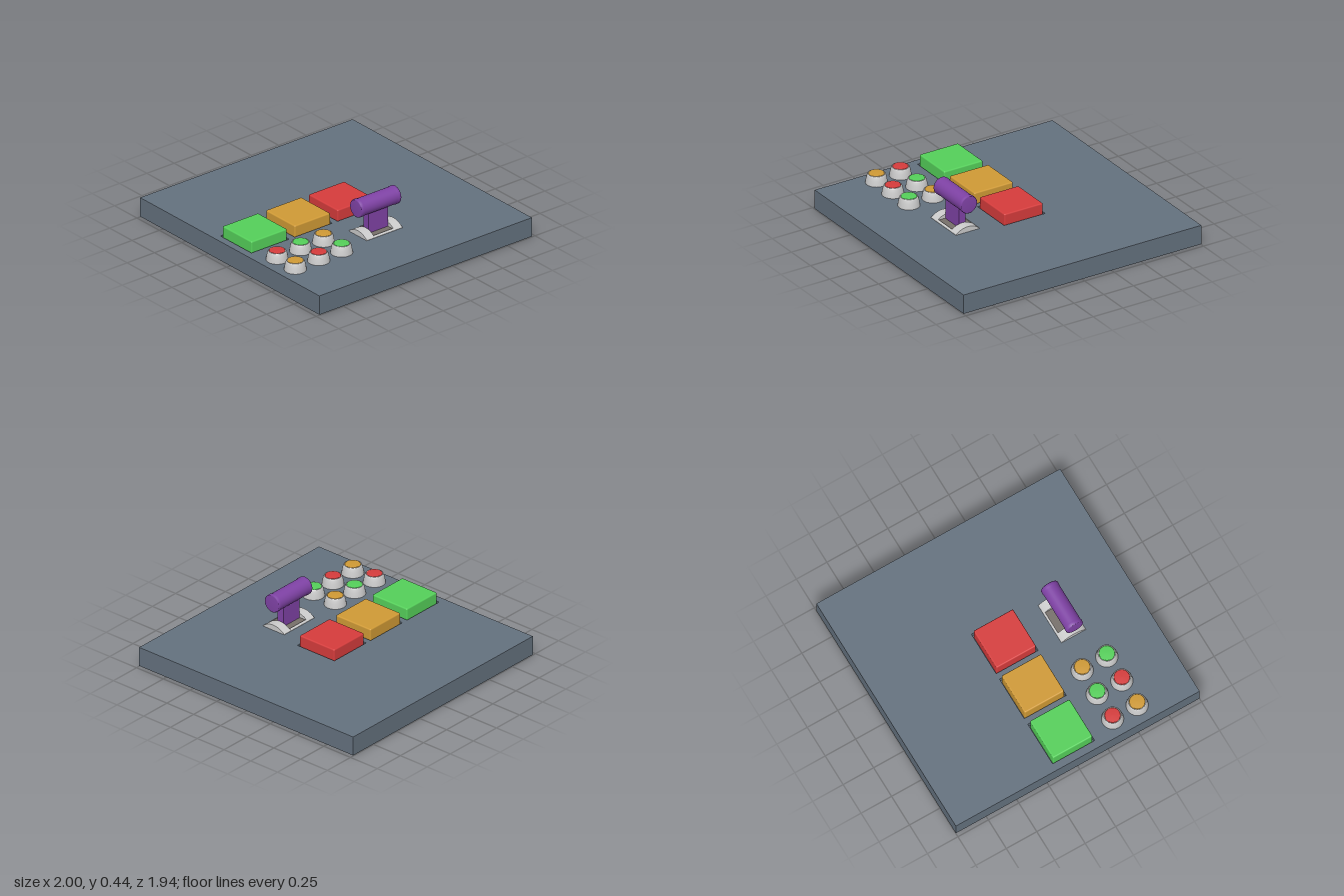
import * as THREE from 'three';
import { RoundedBoxGeometry } from 'three/addons/geometries/RoundedBoxGeometry.js';

const mat = (color) => new THREE.MeshStandardMaterial({ color });
const GREY = mat(0xcccccc), SLATE = mat(0x64717e), DARK = mat(0x77706a), PURPLE = mat(0x7f42a5);
const RED = mat(0xd63c3c), ORANGE = mat(0xd09a35), GREEN = mat(0x55d05a);

const TOP = 0.153, DEPTH = 1.943;

function add(parent, name, geometry, material, x = 0, y = 0, z = 0) {
  const mesh = new THREE.Mesh(geometry, material);
  mesh.name = name;
  mesh.position.set(x, y, z);
  parent.add(mesh);
  return mesh;
}

const lathe = (pts, segments = 32) =>
  new THREE.LatheGeometry(pts.map(([r, y]) => new THREE.Vector2(r, y)), segments);

// rectangle outline, centred on (x, y)
function rect(Type, x, y, w, h) {
  const p = new Type();
  p.moveTo(x - w / 2, y - h / 2);
  p.lineTo(x + w / 2, y - h / 2);
  p.lineTo(x + w / 2, y + h / 2);
  p.lineTo(x - w / 2, y + h / 2);
  p.closePath();
  return p;
}

// solid slice of the arched lever frame between x0 and x1, extruded along z
function archSlice(x0, x1, length) {
  const radius = 0.146, cy = 0.049, steps = 12;
  const s = new THREE.Shape();
  s.moveTo(x0, TOP - 0.003);
  s.lineTo(x1, TOP - 0.003);
  for (let i = 0; i <= steps; i++) {
    const x = x1 + (x0 - x1) * i / steps;
    s.lineTo(x, cy + Math.sqrt(radius * radius - x * x));
  }
  return new THREE.ExtrudeGeometry(s, { depth: length, bevelEnabled: false })
    .translate(0, 0, -length / 2);
}

export function createModel() {
  const model = new THREE.Group();
  model.name = 'controlPanel';
  const pads = [[-0.045, RED], [0.347, ORANGE], [0.742, GREEN]];

  // Panel: solid lower slab and a top plate with pad recesses
  const recess = 0.05;
  add(model, 'panelSlab', new THREE.BoxGeometry(2, TOP - recess - 0.004, DEPTH), SLATE,
    0, (TOP - recess + 0.004) / 2, 0);
  const plate = rect(THREE.Shape, 0, 0, 2, DEPTH);
  pads.forEach(([z]) => plate.holes.push(rect(THREE.Path, 0, -z, 0.345, 0.345)));
  const plateGeometry = new THREE.ExtrudeGeometry(plate, { depth: recess, bevelEnabled: false })
    .rotateX(-Math.PI / 2);
  add(model, 'panelTop', plateGeometry, SLATE, 0, TOP - recess, 0);

  // Large square pads
  const padGeometry = new RoundedBoxGeometry(0.325, 0.13, 0.325, 3, 0.01);
  pads.forEach(([z, m]) => add(model, 'squarePad', padGeometry, m, 0, 0.168, z));

  // Round buttons: tapered collar with a coloured cap
  const collar = lathe([[0.08, 0], [0.079, 0.01], [0.074, 0.04], [0.068, 0.064],
    [0.064, 0.072], [0.059, 0.074], [0.057, 0.068], [0, 0.068]]);
  const cap = lathe([[0.057, 0.066], [0.057, 0.073], [0.052, 0.076], [0, 0.077]]);
  const rows = [[0.414, ORANGE, GREEN], [0.623, GREEN, RED], [0.837, RED, ORANGE]];
  for (const [z, ...caps] of rows) {
    caps.forEach((m, i) => {
      const button = new THREE.Group();
      button.name = 'roundButton';
      button.position.set(0.365 + i * 0.202, TOP - 0.001, z);
      add(button, 'buttonCollar', collar, GREY);
      add(button, 'buttonCap', cap, m);
      model.add(button);
    });
  }

  // Lever: arched slotted frame, pivot block, stem and crossbar grip
  const lever = new THREE.Group();
  lever.name = 'lever';
  lever.position.x = 0.443;
  model.add(lever);
  for (const side of [-1, 1]) {
    add(lever, 'frameEnd', archSlice(-0.1, 0.1, 0.073), GREY, 0, 0, side * 0.1265);
    const [a, b] = side < 0 ? [-0.1, -0.086] : [0.086, 0.1];
    add(lever, 'frameSide', archSlice(a, b, 0.18), GREY);
  }
  add(lever, 'pivotBlock', new THREE.BoxGeometry(0.15, 0.16, 0.16), DARK, 0, 0.08, 0);
  add(lever, 'slotFloor', new THREE.BoxGeometry(0.172, 0.012, 0.18), DARK, 0, 0.155, 0);
  add(lever, 'stem', new THREE.BoxGeometry(0.054, 0.18, 0.176), PURPLE, 0, 0.245, 0);
  const grip = lathe([[0, -0.183], [0.062, -0.183], [0.068, -0.178], [0.069, -0.155],
    [0.066, -0.145], [0.066, 0.145], [0.069, 0.155], [0.068, 0.178], [0.062, 0.183], [0, 0.183]]);
  add(lever, 'grip', grip.rotateX(Math.PI / 2), PURPLE, 0, 0.375, 0);

  return model;
}
